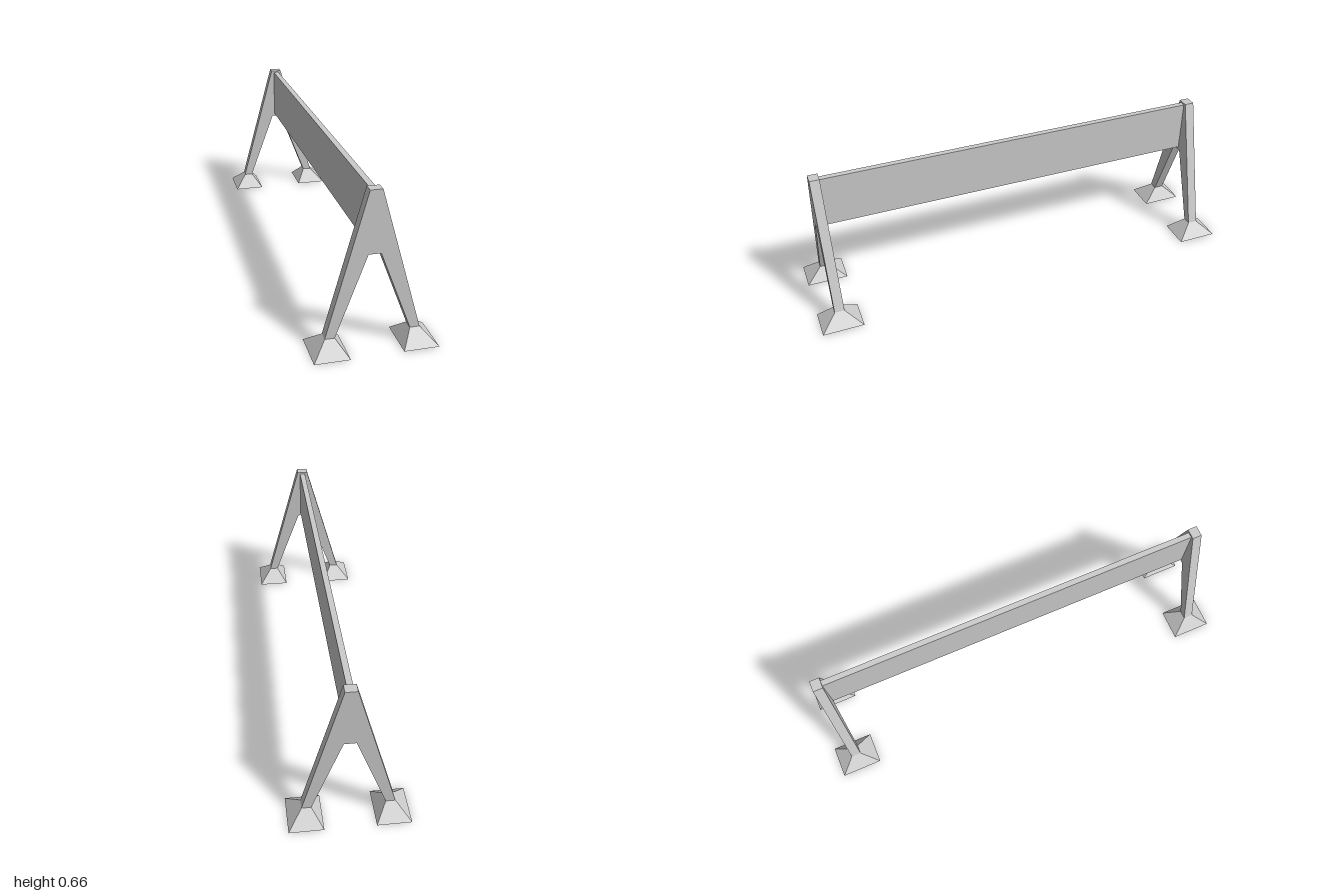
import * as THREE from 'three';

const material = new THREE.MeshStandardMaterial({ color: 0xcccccc, flatShading: true });
const POST_Z = 0.907, POST_DEPTH = 0.044;
const FOOT = { x: 0.18, width: 0.145, depth: 0.186, height: 0.06, topX: 0.173, topWidth: 0.04 };
// the +x feet sit a hair higher than the -x feet
const lift = side => (side > 0 ? 0.003 : 0);

function addMesh(parent, name, geometry) {
  const mesh = new THREE.Mesh(geometry, material);
  mesh.name = name;
  parent.add(mesh);
  return mesh;
}

// A-shaped end frame cut from one flat slab
function frameGeometry() {
  const outer = FOOT.topX + FOOT.topWidth / 2, inner = FOOT.topX - FOOT.topWidth / 2;
  const yL = FOOT.height, yR = FOOT.height + lift(1);
  const shape = new THREE.Shape([
    [-outer, yL], [-inner, yL], [-0.025, 0.402], [0.025, 0.402],
    [inner, yR], [outer, yR], [0.025, 0.662], [-0.025, 0.662],
  ].map(([x, y]) => new THREE.Vector2(x, y)));
  return new THREE.ExtrudeGeometry(shape, { depth: POST_DEPTH, bevelEnabled: false })
    .translate(0, 0, -POST_DEPTH / 2);
}

// Flared foot: a box whose top face shrinks to the leg's section
function footGeometry(side) {
  const g = new THREE.BoxGeometry(FOOT.width, FOOT.height, FOOT.depth);
  const p = g.attributes.position;
  for (let i = 0; i < p.count; i++) {
    if (p.getY(i) < 0) continue;
    p.setX(i, Math.sign(p.getX(i)) * FOOT.topWidth / 2 + side * (FOOT.topX - FOOT.x));
    p.setZ(i, Math.sign(p.getZ(i)) * POST_DEPTH / 2);
  }
  g.translate(side * FOOT.x, FOOT.height / 2 + lift(side), 0);
  g.computeVertexNormals();
  return g;
}

export function createModel() {
  const model = new THREE.Group();
  model.name = 'barrier';

  // Long upright board between the two end frames
  const length = 2 * POST_Z - POST_DEPTH;
  addMesh(model, 'board', new THREE.BoxGeometry(0.026, 0.238, length)).position.y = 0.535;

  // End supports, front and back
  for (const end of [1, -1]) {
    const support = new THREE.Group();
    support.name = end > 0 ? 'frontSupport' : 'backSupport';
    support.position.z = end * POST_Z;
    addMesh(support, 'legFrame', frameGeometry());
    for (const side of [1, -1]) {
      addMesh(support, side > 0 ? 'leftFoot' : 'rightFoot', footGeometry(side));
    }
    model.add(support);
  }
  return model;
}
